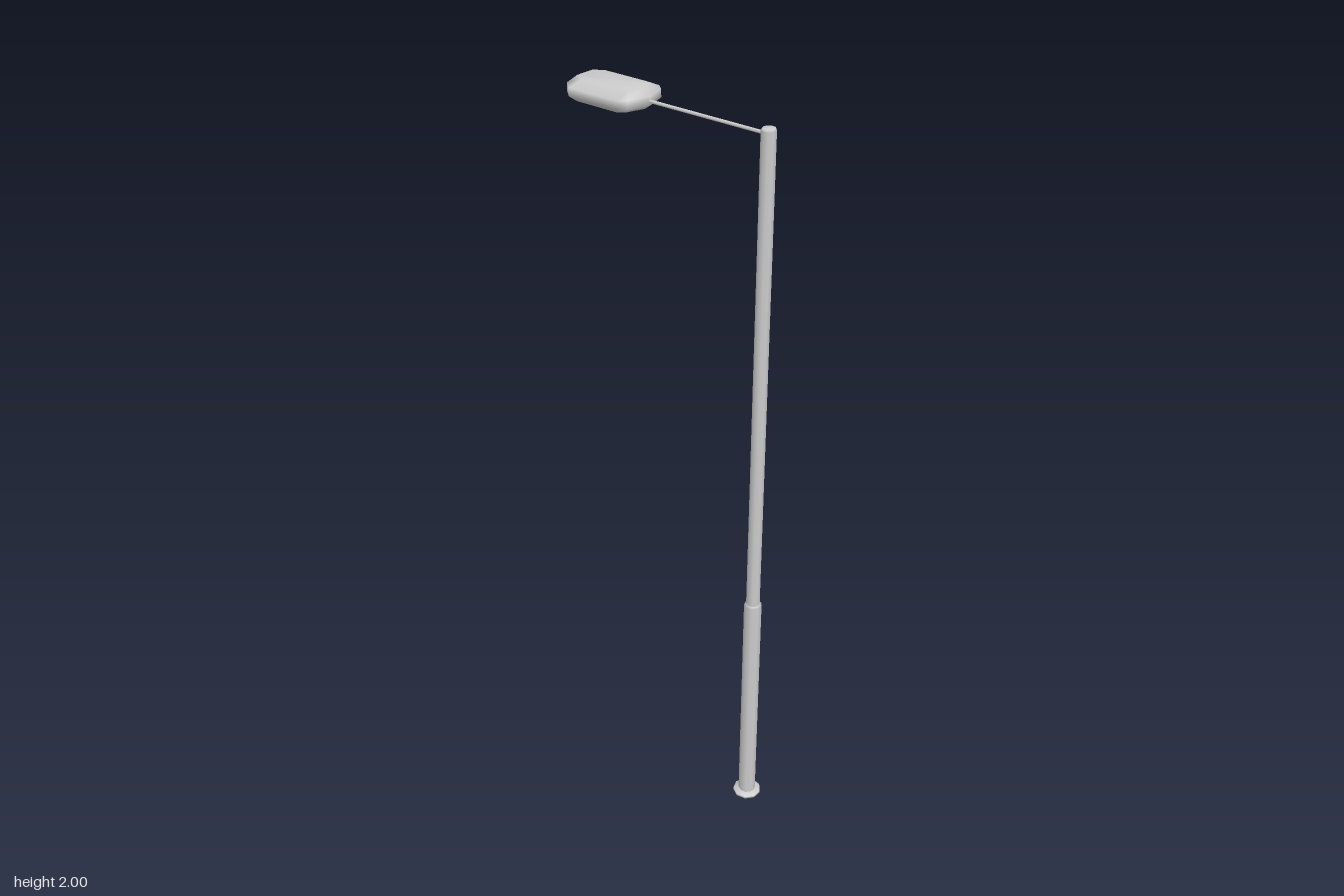
import * as THREE from 'three';

const POLE_Z = 0.265;
const material = new THREE.MeshStandardMaterial({ color: 0xcccccc });

function addMesh(group, name, geometry) {
  const mesh = new THREE.Mesh(geometry, material);
  mesh.name = name;
  group.add(mesh);
  return mesh;
}

// Turned part with nine sides, from [radius, height] points
function turned(points) {
  return new THREE.LatheGeometry(points.map(([r, y]) => new THREE.Vector2(r, y)), 9);
}

// Closed, smooth shell: one outline stacked in layers of [y, scaleX, scaleZ]
function layeredShell(outline, layers, centreZ) {
  const n = outline.length;
  const positions = [];
  const index = [];
  for (const [y, sx, sz] of layers) {
    for (const [x, z] of outline) positions.push(x * sx, y, centreZ + (z - centreZ) * sz);
  }
  const bottom = n * layers.length;
  const top = bottom + 1;
  positions.push(0, layers[0][0], centreZ, 0, layers[layers.length - 1][0], centreZ);
  for (let i = 0; i < n; i++) {
    const j = (i + 1) % n;
    for (let k = 0; k < layers.length - 1; k++) {
      const a = k * n + i, b = k * n + j;
      index.push(a, b, b + n, a, b + n, a + n);
    }
    const last = (layers.length - 1) * n;
    index.push(bottom, j, i, top, last + i, last + j);
  }
  const geometry = new THREE.BufferGeometry();
  geometry.setAttribute('position', new THREE.Float32BufferAttribute(positions, 3));
  geometry.setIndex(index);
  geometry.computeVertexNormals();
  return geometry;
}

export function createModel() {
  const group = new THREE.Group();
  group.name = 'streetLamp';

  // Base flange, thick lower pole and thin upper pole
  const pole = new THREE.Group();
  pole.name = 'pole';
  pole.position.z = POLE_Z;
  pole.rotation.y = Math.PI;
  group.add(pole);
  addMesh(pole, 'baseFlange', turned([[0, 0], [0.039, 0], [0.039, 0.007], [0.023, 0.012]]));
  addMesh(pole, 'lowerPole', turned([[0.024, 0.005], [0.024, 0.672], [0.018, 0.677]]));
  addMesh(pole, 'upperPole', turned([[0.0185, 0.67], [0.0185, 1.98], [0.016, 1.986], [0, 1.987]]));

  // Horizontal arm
  const arm = addMesh(group, 'arm', new THREE.CylinderGeometry(0.0045, 0.0045, 0.36, 8));
  arm.rotation.x = Math.PI / 2;
  arm.position.set(0, 1.972, 0.08);

  // Lamp head: right half of the outline, then its mirror
  const half = [[0.06, -0.1], [0.077, -0.12], [0.077, -0.272], [0.049, -0.305]];
  const mirrored = half.map(([x, z]) => [-x, z]).reverse();
  const outline = [[0, -0.081], ...half, ...mirrored];
  const layers = [[1.95, 0.8, 0.84], [1.963, 1, 1], [1.984, 1, 0.99], [2.0, 0.55, 0.85]];
  addMesh(group, 'lampHead', layeredShell(outline, layers, -0.2));

  return group;
}
